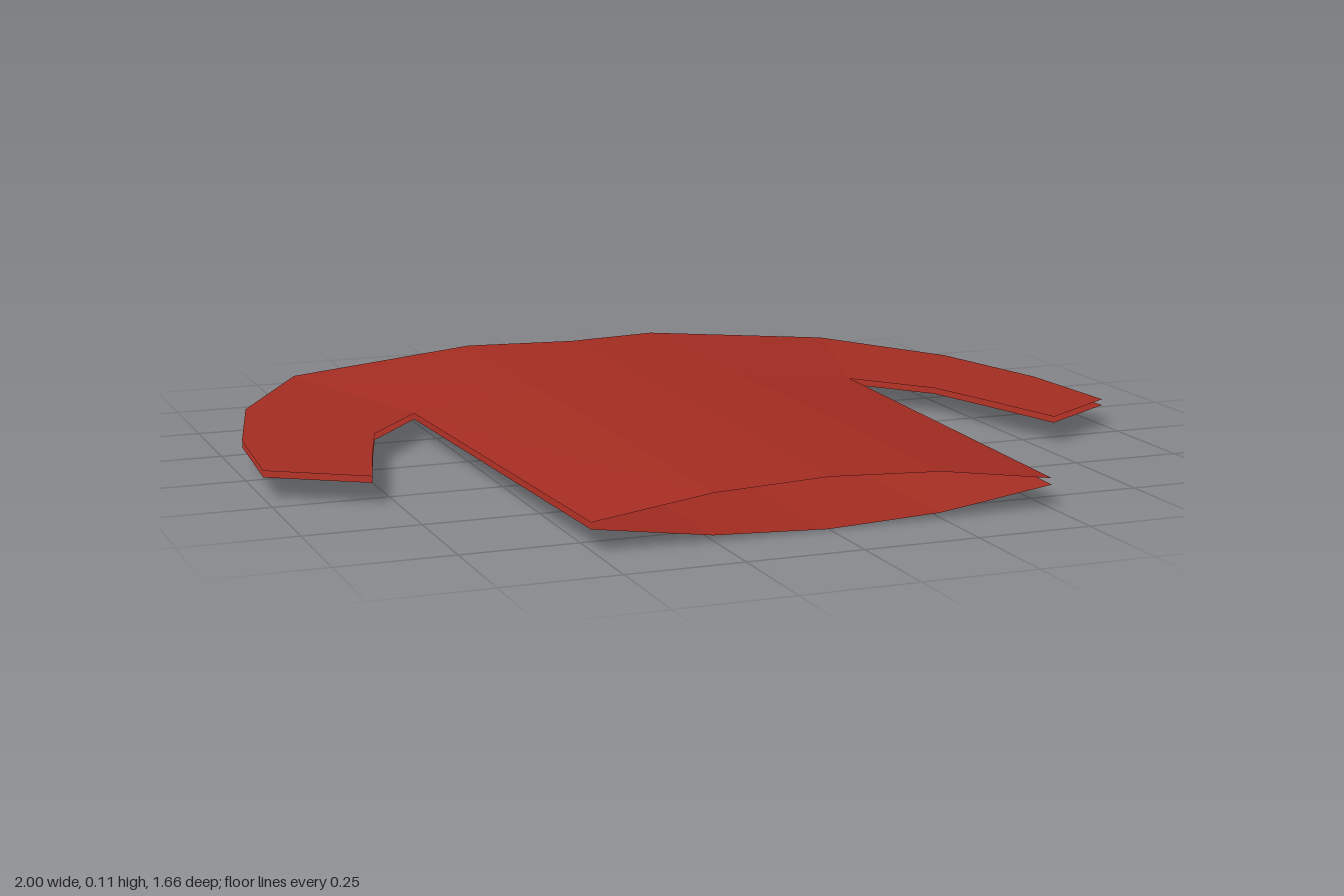
import * as THREE from 'three';

const MID = 0.054; // height halfway between the two cloth layers
const EDGE = 0.007, SIDE = 0.043, CROWN = 0.054; // lift of a layer at seam, quarter and centre

// Left half outline, each point as [x, z, lift]
const hemRow = [[0, 0.83, CROWN], [0.25, 0.83, SIDE], [0.505, 0.83, EDGE]];
const armpitRow = [[0, -0.26, CROWN], [0.25, -0.26, SIDE], [0.55, -0.26, EDGE]];
const neckRow = [[0, -0.74, CROWN], [0.245, -0.83, SIDE], [0.705, -0.785, EDGE]];

// Sleeve cross-sections from shoulder to cuff: [inner, outer]
const sleeveRows = [
  [[0.55, -0.26, EDGE], [0.705, -0.785, EDGE]],
  [[0.55, -0.26, EDGE], [0.9, -0.445, EDGE]],
  [[0.69, -0.085, EDGE], [0.98, -0.12, EDGE]],
  [[0.74, 0.085, EDGE], [0.99, 0.03, EDGE]],
  [[0.8, 0.305, EDGE], [1.0, 0.175, EDGE]],
];

// Joins successive rows of points; sx mirrors left/right, sy picks upper or lower layer
function sheet(rows, sx, sy) {
  const pos = [];
  const tri = (...pts) => {
    const v = pts.map(([x, z, lift]) => new THREE.Vector3(sx * x, MID + sy * lift, z));
    const n = v[1].clone().sub(v[0]).cross(v[2].clone().sub(v[0]));
    if (n.length() < 1e-8) return;
    if (n.y * sy < 0) v.reverse(); // outside faces away from the middle
    v.forEach((p) => pos.push(p.x, p.y, p.z));
  };
  for (let r = 0; r < rows.length - 1; r++) {
    for (let c = 0; c < rows[r].length - 1; c++) {
      const a = rows[r][c], b = rows[r][c + 1];
      const d = rows[r + 1][c], e = rows[r + 1][c + 1];
      tri(a, b, e);
      tri(a, e, d);
    }
  }
  const g = new THREE.BufferGeometry();
  g.setAttribute('position', new THREE.Float32BufferAttribute(pos, 3));
  g.computeVertexNormals();
  return g;
}

export function createModel() {
  const group = new THREE.Group();
  group.name = 'shirt';
  const redCloth = new THREE.MeshStandardMaterial({
    color: 0xa52d22, side: THREE.DoubleSide, flatShading: true,
  });
  redCloth.name = 'redCloth';

  for (const [sy, layer] of [[1, 'upper'], [-1, 'lower']]) {
    for (const [sx, hand] of [[1, 'Left'], [-1, 'Right']]) {
      // Torso panel and sleeve of each half
      const torso = new THREE.Mesh(sheet([hemRow, armpitRow, neckRow], sx, sy), redCloth);
      torso.name = `${layer}${hand}Torso`;
      const sleeve = new THREE.Mesh(sheet(sleeveRows, sx, sy), redCloth);
      sleeve.name = `${layer}${hand}Sleeve`;
      group.add(torso, sleeve);
    }
  }
  return group;
}
